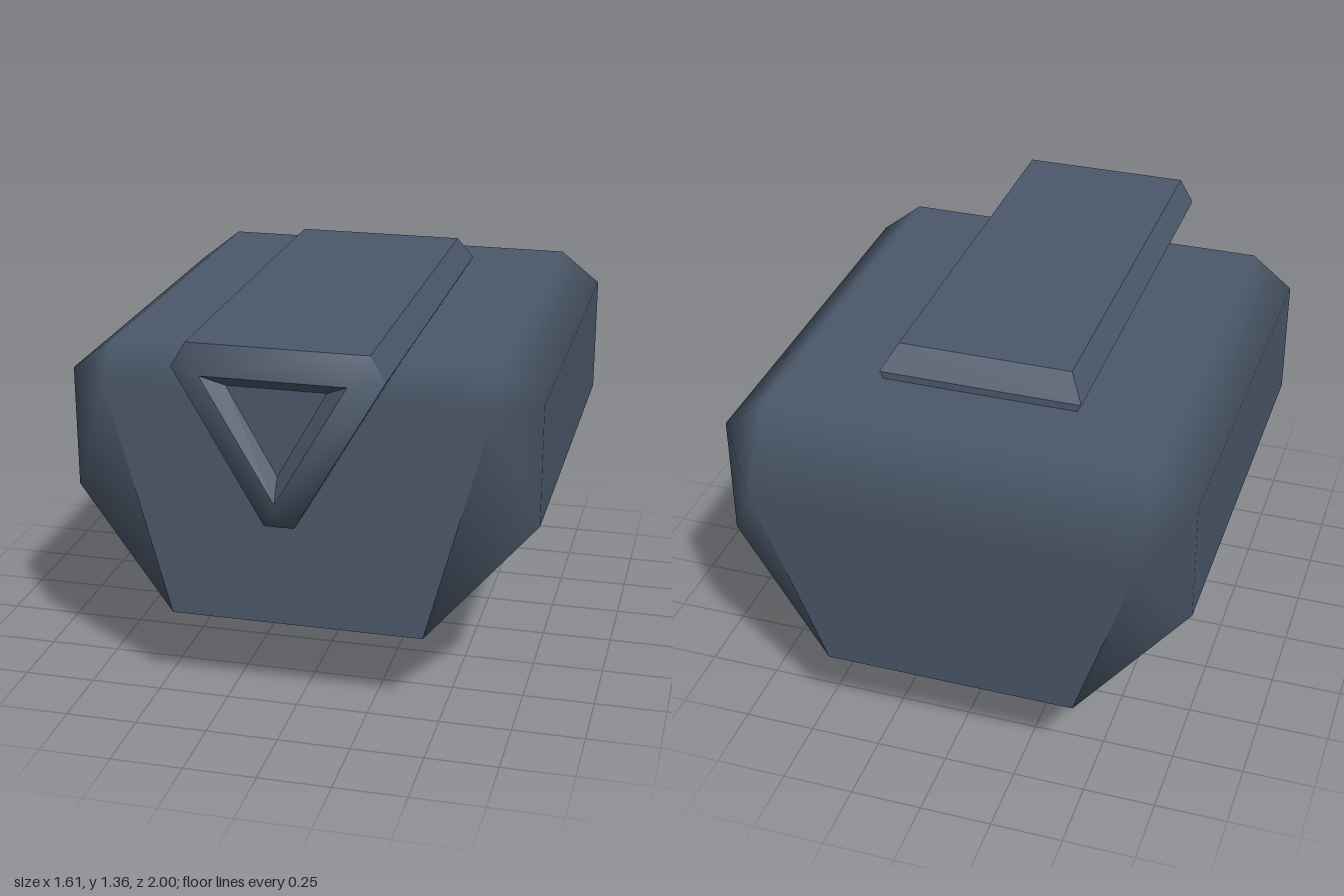
import * as THREE from 'three';

const material = new THREE.MeshStandardMaterial({ color: 0x4c596b });
const openMaterial = material.clone();
openMaterial.side = THREE.DoubleSide;

const v = (x, y, z) => new THREE.Vector3(x, y, z);

// Attach a shading normal to a corner point
const corner = (x, y, z, n) => Object.assign(v(x, y, z), { shade: n.clone().normalize() });

// Fan-triangulate polygons, turned to face away from (or towards) a centre point.
// Smooth polygons use the corners' own shading normals, the others are flat.
function shell(polygons, centre, { smooth = false, inward = false } = {}) {
  const pos = [], nor = [];
  for (const poly of polygons) {
    for (let i = 1; i < poly.length - 1; i++) {
      let tri = [poly[0], poly[i], poly[i + 1]];
      const n = tri[1].clone().sub(tri[0]).cross(tri[2].clone().sub(tri[0])).normalize();
      const out = tri[0].clone().sub(centre).dot(n) > 0;
      if (out === inward) {
        tri = [tri[0], tri[2], tri[1]];
        n.negate();
      }
      for (const p of tri) {
        pos.push(p.x, p.y, p.z);
        nor.push(...(smooth ? p.shade : n).toArray());
      }
    }
  }
  const g = new THREE.BufferGeometry();
  g.setAttribute('position', new THREE.Float32BufferAttribute(pos, 3));
  g.setAttribute('normal', new THREE.Float32BufferAttribute(nor, 3));
  return g;
}

function addMesh(parent, name, geometry, mat = material) {
  const m = new THREE.Mesh(geometry, mat);
  m.name = name;
  parent.add(m);
}

// Tapered housing: flat panels joined by softly shaded chamfers
function createHousing() {
  const group = new THREE.Group();
  group.name = 'housing';
  const up = v(0, 1, 0), front = v(0, 0, 1), back = v(0, -0.08, -1);
  const half = (s) => ({
    topF: corner(s * 0.66, 1.245, 0.635, up),
    topB: corner(s * 0.66, 1.245, -0.83, up),
    sideFT: corner(s * 0.805, 1.13, 0.635, v(s, 0, 0)),
    sideFB: corner(s * 0.805, 0.705, 0.635, v(s, 0, 0)),
    sideBT: corner(s * 0.805, 1.13, -0.83, v(s, 0, 0)),
    sideBB: corner(s * 0.805, 0.705, -0.83, v(s, 0, 0)),
    frontT: corner(s * 0.66, 1.13, 0.75, front),
    frontB: corner(s * 0.44, 0.305, 0.75, v(s * 0.72, -0.65, 0.25)),
    backT: corner(s * 0.66, 0.98, -1, back),
    backB: corner(s * 0.44, 0.305, -0.945, v(s * 0.72, -0.65, -0.25)),
  });
  const L = half(1), R = half(-1);
  const panels = [
    [L.topF, L.topB, R.topB, R.topF],
    [L.frontT, L.frontB, R.frontB, R.frontT],
    [L.backT, L.backB, R.backB, R.backT],
    [L.frontB, L.backB, R.backB, R.frontB],
  ];
  const chamfers = [
    [L.topF, L.frontT, R.frontT, R.topF],
    [L.topB, L.backT, R.backT, R.topB],
  ];
  for (const h of [L, R]) {
    panels.push([h.sideFT, h.sideFB, h.sideBB, h.sideBT]);
    chamfers.push(
      [h.topF, h.topB, h.sideBT, h.sideFT],
      [h.sideFB, h.sideBB, h.backB, h.frontB],
      [h.sideFB, h.frontB, h.frontT, h.sideFT],
      [h.sideBB, h.backB, h.backT, h.sideBT],
      [h.topF, h.sideFT, h.frontT],
      [h.topB, h.sideBT, h.backT],
    );
  }
  const centre = v(0, 0.8, 0);
  addMesh(group, 'housingPanels', shell(panels, centre));
  addMesh(group, 'housingChamfers', shell(chamfers, centre, { smooth: true }));
  return group;
}

// Long wedge-shaped barrel with a bevelled muzzle and a triangular recess
function createBarrel() {
  const group = new THREE.Group();
  group.name = 'barrel';
  // Cross-section, going round from the top left corner
  const outline = [[0.30, 1.355], [0.35, 1.27], [0.05, 0.75], [-0.05, 0.75], [-0.35, 1.27], [-0.30, 1.355]];
  const fore = outline.map(([x, y]) =>
    corner(x, y, 0.945, v(x, (y - 1.13) * 1.2, 0.25)));
  const aft = outline.map(([x, y]) => v(x, y, y > 1.3 ? -0.52 : -0.58));
  const triangle = (w, top, bottom, z) =>
    [[w, top], [0, bottom], [-w, top]].map(([x, y]) =>
      corner(x, y, z, v(x * 0.6, (y - 1.13) * 0.6, 0.5)));
  const lip = triangle(0.24, 1.265, 0.85, 1);
  const floor = triangle(0.165, 1.225, 0.93, 0.955);
  const centre = v(0, 1.1, 0.2);

  const sides = fore.map((p, i) => [p, fore[(i + 1) % 6], aft[(i + 1) % 6], aft[i]]);
  sides.push(aft.slice(1, 5), [aft[0], aft[1], aft[4], aft[5]]);
  addMesh(group, 'barrelSides', shell(sides, centre));

  const rim = [
    [fore[0], fore[5], lip[2], lip[0]],
    [fore[0], fore[1], lip[0]],
    [fore[1], fore[2], lip[1], lip[0]],
    [fore[2], fore[3], lip[1]],
    [fore[3], fore[4], lip[2], lip[1]],
    [fore[4], fore[5], lip[2]],
  ];
  addMesh(group, 'muzzleRim', shell(rim, centre, { smooth: true }));

  const walls = lip.map((p, i) => [p, lip[(i + 1) % 3], floor[(i + 1) % 3], floor[i]]);
  addMesh(group, 'muzzleRecess', shell([...walls, floor], v(0, 1.12, 1.1), { inward: true }));
  return group;
}

// Open square collar under the housing
function createMount() {
  const x0 = -0.275, x1 = 0.303, z0 = -0.53, z1 = 0.05, h = 0.305;
  const ring = [[x0, z0], [x1, z0], [x1, z1], [x0, z1]];
  const walls = ring.map(([x, z], i) => {
    const [nx, nz] = ring[(i + 1) % 4];
    return [v(x, 0, z), v(nx, 0, nz), v(nx, h, nz), v(x, h, z)];
  });
  return shell(walls, v(0, h / 2, -0.24));
}

export function createModel() {
  const model = new THREE.Group();
  model.name = 'turret';
  model.add(createHousing(), createBarrel());
  addMesh(model, 'mountCollar', createMount(), openMaterial);
  return model;
}
